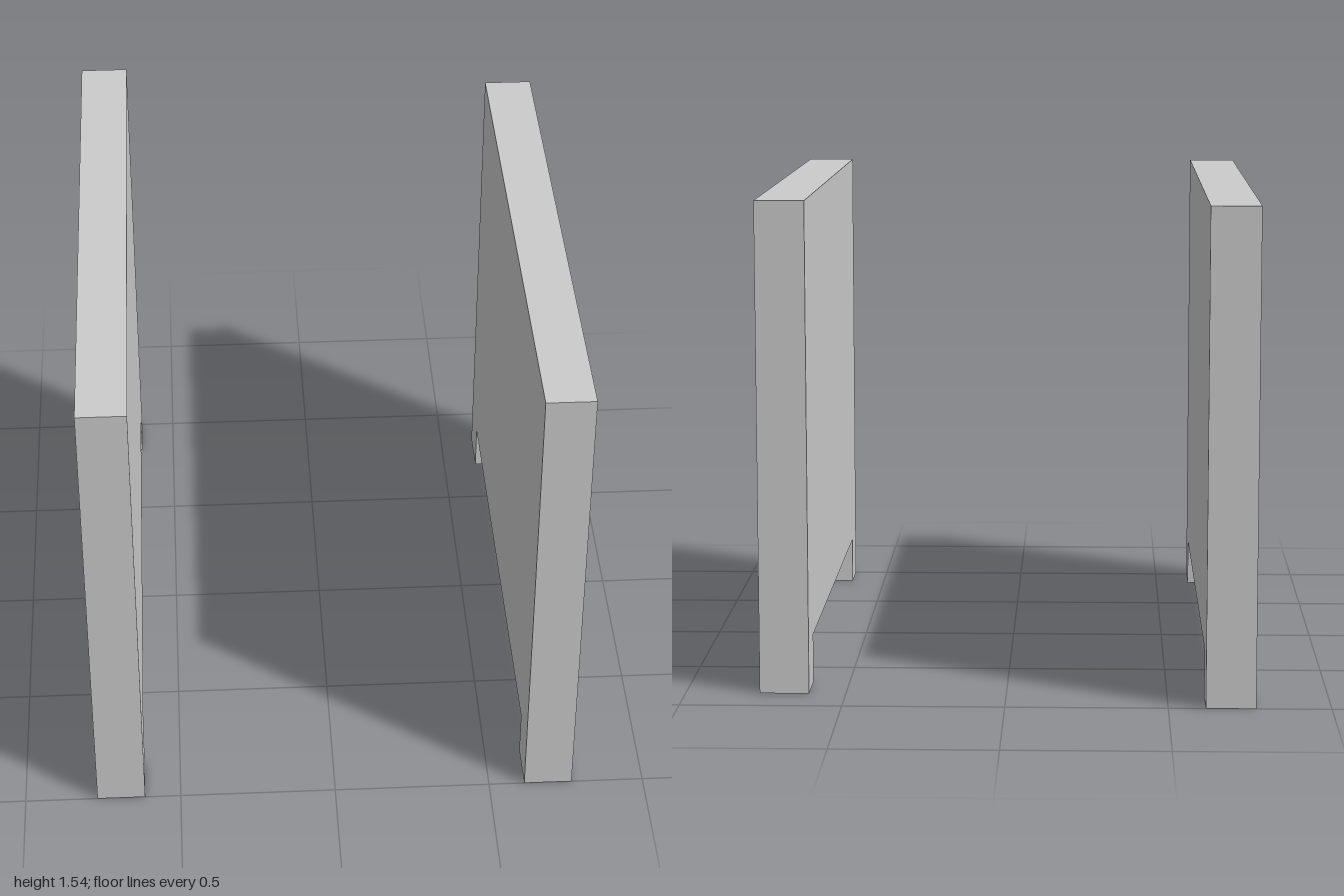
import * as THREE from 'three';

const THICK = 0.154; // panel thickness, also foot width and height
const HEIGHT = 1.538;
const FRONT = 1;

// Upright slab with a foot at each end, running from the front to zBack
function sidePanel(name, xCentre, zBack) {
  const outline = new THREE.Shape([
    [-FRONT, 0],
    [-FRONT + THICK, 0],
    [-FRONT + THICK, THICK],
    [-zBack - THICK, THICK],
    [-zBack - THICK, 0],
    [-zBack, 0],
    [-zBack, HEIGHT],
    [-FRONT, HEIGHT],
  ].map(([u, v]) => new THREE.Vector2(u, v)));

  const geometry = new THREE.ExtrudeGeometry(outline, { depth: THICK, bevelEnabled: false });
  geometry.translate(0, 0, -THICK / 2);
  geometry.rotateY(Math.PI / 2); // outline x becomes -z, depth becomes x

  const mesh = new THREE.Mesh(geometry, new THREE.MeshStandardMaterial({ color: 0xcccccc }));
  mesh.name = name;
  mesh.position.x = xCentre;
  return mesh;
}

export function createModel() {
  const model = new THREE.Group();
  model.name = 'sidePanels';
  const x = 0.769 - THICK / 2;
  // The left panel stops one thickness short of the right one at the back
  model.add(sidePanel('leftPanel', x, -1 + THICK));
  model.add(sidePanel('rightPanel', -x, -1));
  return model;
}
